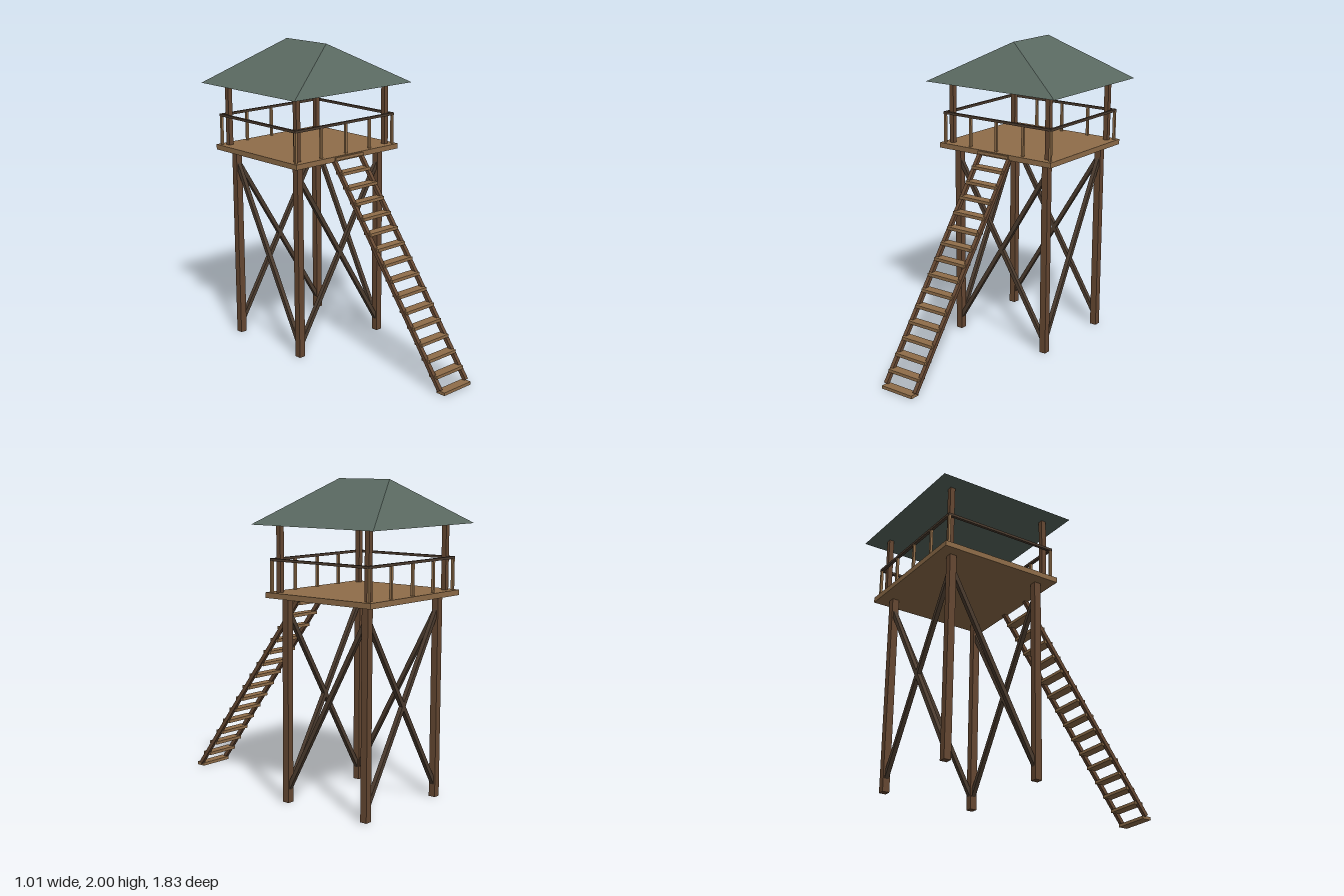
import * as THREE from 'three';

const material = (name, color) => {
  const m = new THREE.MeshStandardMaterial({ color });
  m.name = name;
  return m;
};

export function createModel() {
  const plankWood = material('plank wood', 0x8f6d49);
  const postWood = material('post wood', 0x664832);
  const darkWood = material('dark wood', 0x4c3c2f);
  const roofGreen = material('roof green', 0x596860);

  const model = new THREE.Group();
  model.name = 'watchtower';
  const tower = new THREE.Group();
  tower.name = 'tower';
  tower.position.z = -0.452;
  const ladder = new THREE.Group();
  ladder.name = 'ladder';
  model.add(tower, ladder);

  const add = (parent, name, geometry, mat) => {
    const mesh = new THREE.Mesh(geometry, mat);
    mesh.name = name;
    parent.add(mesh);
    return mesh;
  };
  const box = (parent, name, size, pos, mat) => {
    const mesh = add(parent, name, new THREE.BoxGeometry(...size), mat);
    mesh.position.set(...pos);
  };
  // Square timber running between two points, in the parent's own space
  const up = new THREE.Vector3(0, 1, 0);
  const beam = (parent, name, from, to, thick, mat) => {
    const a = new THREE.Vector3(...from), b = new THREE.Vector3(...to);
    const mesh = add(parent, name, new THREE.BoxGeometry(thick, thick, a.distanceTo(b)), mat);
    mesh.position.copy(a).add(b).multiplyScalar(0.5);
    mesh.quaternion.setFromRotationMatrix(new THREE.Matrix4().lookAt(b, a, up));
  };

  // Platform
  const deckTop = 1.318;
  box(tower, 'platform', [0.888, 0.034, 0.806], [0, deckTop - 0.017, 0], plankWood);

  // Legs, roof posts
  const legX = 0.35, legZ = 0.307, railX = 0.42, railZ = 0.371, railY = 1.517;
  for (const sx of [-1, 1]) {
    for (const sz of [-1, 1]) {
      box(tower, 'leg', [0.045, 1.29, 0.045], [sx * legX, 0.645, sz * legZ], postWood);
      box(tower, 'roofPost', [0.032, 0.42, 0.032], [sx * 0.382, 1.525, sz * 0.339], postWood);
    }
  }

  // Crossed braces front and back, single diagonal on each side
  for (const s of [-1, 1]) {
    for (const d of [-1, 1]) {
      beam(tower, 'crossBrace', [-d * legX, 0.07, s * legZ], [d * legX, 1.21, s * legZ], 0.027, darkWood);
    }
    beam(tower, 'sideBrace', [s * legX, 0.07, legZ], [s * legX, 1.21, -legZ], 0.027, darkWood);
  }

  // Railing
  for (const s of [-1, 1]) {
    box(tower, 'rail', [railX * 2 + 0.018, 0.016, 0.018], [0, railY, s * railZ], darkWood);
    box(tower, 'sideRail', [0.018, 0.016, railZ * 2], [s * railX, railY, 0], darkWood);
    for (let i = -2; i <= 2; i++) {
      box(tower, 'baluster', [0.016, railY - deckTop, 0.016],
        [i * railX / 2, (railY + deckTop) / 2, s * railZ], plankWood);
    }
  }

  // Hipped roof with a flat underside: eave corners and two ridge ends
  const ex = 0.505, ez = 0.464, rz = 0.193, eaveY = 1.728;
  const p = [[-ex, eaveY, ez], [ex, eaveY, ez], [ex, eaveY, -ez], [-ex, eaveY, -ez], [0, 2, rz], [0, 2, -rz]];
  const faces = [[0, 1, 4], [1, 2, 5], [1, 5, 4], [2, 3, 5], [3, 0, 4], [3, 4, 5], [0, 3, 2], [0, 2, 1]];
  const roof = new THREE.BufferGeometry();
  roof.setAttribute('position', new THREE.Float32BufferAttribute(faces.flat().flatMap(i => p[i]), 3));
  roof.computeVertexNormals();
  add(tower, 'roof', roof, roofGreen);

  // Ladder: two stringers and flat treads
  const low = { y: 0.011, z: 0.882 }, high = { y: 1.302, z: -0.072 };
  for (const s of [-1, 1]) {
    beam(ladder, 'stringer', [s * 0.117, low.y + 0.01, low.z - 0.007], [s * 0.117, high.y, high.z], 0.025, postWood);
  }
  for (let i = 0; i < 16; i++) {
    const t = i / 15;
    box(ladder, 'tread', [0.24, 0.02, 0.064],
      [0, THREE.MathUtils.lerp(low.y, high.y, t), THREE.MathUtils.lerp(low.z, high.z, t)], plankWood);
  }
  return model;
}
